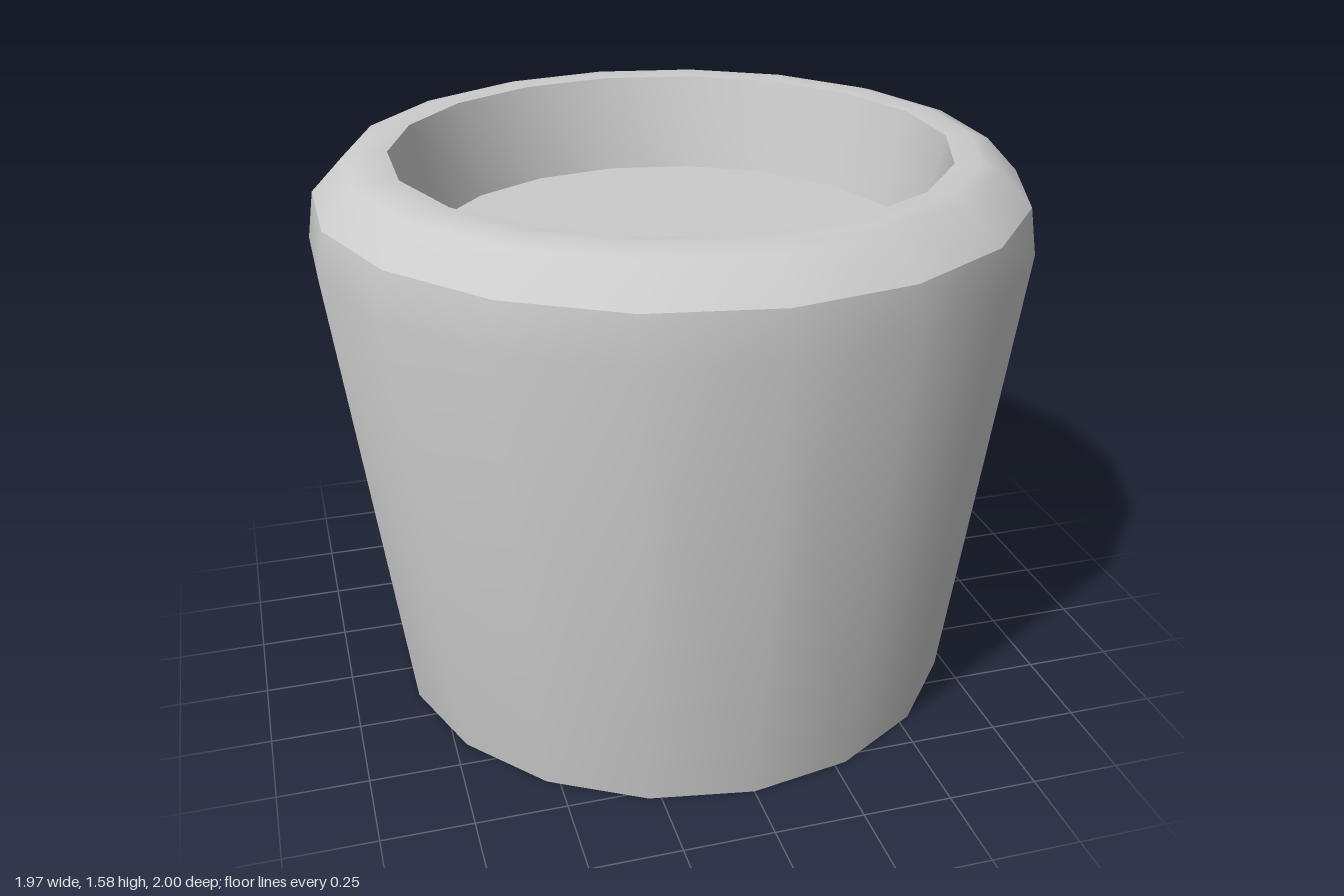
import * as THREE from 'three';
import { toCreasedNormals } from 'three/addons/utils/BufferGeometryUtils.js';

const SIDES = 18;
const FLOOR_Y = 1.3;
const FLOOR_RADIUS = 0.7;

export function createModel() {
  const group = new THREE.Group();
  group.name = 'pot';
  const material = new THREE.MeshStandardMaterial({ color: 0xcccccc, side: THREE.DoubleSide });

  // Tapered shell, open underneath: outer wall, bevelled rim, inner wall
  const profile = [
    [0.83, 0], [1, 1.34], [0.98, 1.47], [0.89, 1.565],
    [0.84, 1.58], [0.77, 1.575], [FLOOR_RADIUS, FLOOR_Y],
  ].map(([r, y]) => new THREE.Vector2(r, y));
  const shell = new THREE.Mesh(
    toCreasedNormals(new THREE.LatheGeometry(profile, SIDES), THREE.MathUtils.degToRad(32)),
    material,
  );
  shell.name = 'potShell';
  group.add(shell);

  // Flat fill surface inside the rim
  const disc = new THREE.CircleGeometry(FLOOR_RADIUS, SIDES, Math.PI / 2);
  disc.rotateX(-Math.PI / 2);
  const floor = new THREE.Mesh(disc, material);
  floor.name = 'innerFloor';
  floor.position.y = FLOOR_Y;
  group.add(floor);

  return group;
}
